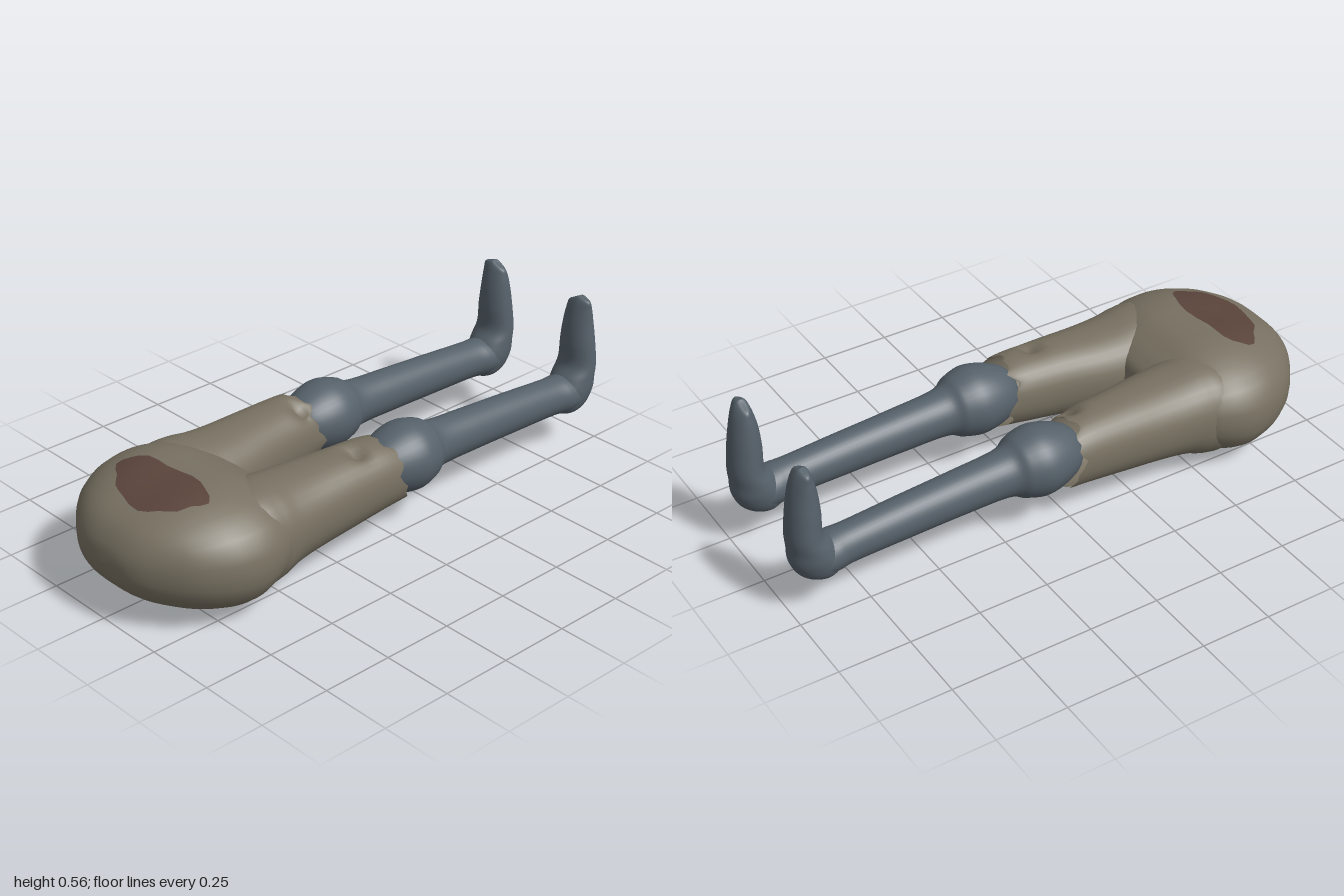
import * as THREE from 'three';

const SEGMENTS = 36;
const STEPS = 7;

const trouserMat = new THREE.MeshStandardMaterial({ color: 0x787162, side: THREE.DoubleSide });
const skinMat = new THREE.MeshStandardMaterial({ color: 0x56616a });
const stainMat = new THREE.MeshStandardMaterial({ color: 0x5a443b });

// Smooth value of one column of a section table at parameter t (in rows)
function sample(rows, t, k) {
  const n = rows.length - 1;
  const i = Math.min(Math.floor(t), n - 1), f = t - i;
  const at = (j) => rows[Math.max(0, Math.min(n, j))][k];
  const [a, b, c, d] = [at(i - 1), at(i), at(i + 1), at(i + 2)];
  return b + 0.5 * f * (c - a + f * (2 * a - 5 * b + 4 * c - d + f * (3 * (b - c) + d - a)));
}

// Point on a rounded section; rows are [position, centreX, centreV, halfX, halfV]
function sectionPoint(rows, t, angle, { power = 2, along = 'z' } = {}) {
  const [pos, cx, cv, hx, hv] = [0, 1, 2, 3, 4].map((k) => sample(rows, t, k));
  const bend = (s) => Math.sign(s) * Math.pow(Math.abs(s), 2 / power);
  const x = cx + Math.max(0, hx) * bend(Math.cos(angle));
  const v = cv + Math.max(0, hv) * bend(Math.sin(angle));
  return along === 'z' ? new THREE.Vector3(x, v, pos) : new THREE.Vector3(x, pos, v);
}

// Indexed grid, optionally joined around
function gridGeometry(nu, nv, wrap, pointAt) {
  const pos = [], index = [];
  const cols = wrap ? nv : nv + 1;
  for (let i = 0; i <= nu; i++)
    for (let j = 0; j < cols; j++) pos.push(...pointAt(i / nu, j / nv).toArray());
  for (let i = 0; i < nu; i++)
    for (let j = 0; j < nv; j++) {
      const k = (j + 1) % cols;
      const a = i * cols + j, b = a + cols, c = i * cols + k, d = c + cols;
      index.push(a, b, c, c, b, d);
    }
  const g = new THREE.BufferGeometry();
  g.setAttribute('position', new THREE.Float32BufferAttribute(pos, 3));
  g.setIndex(index);
  g.computeVertexNormals();
  return g;
}

function loft(name, rows, material, options = {}) {
  const { warp = (p) => p } = options;
  const n = rows.length - 1;
  const g = gridGeometry(n * STEPS, SEGMENTS, true, (u, v) =>
    warp(sectionPoint(rows, u * n, v * Math.PI * 2, options), u, v * Math.PI * 2));
  const mesh = new THREE.Mesh(g, material);
  mesh.name = name;
  return mesh;
}

// Pelvis sections, waist end to crotch
const PELVIS = [
  [1.0, 0, 0.215, 0, 0],
  [0.985, 0, 0.215, 0.115, 0.065],
  [0.94, 0, 0.218, 0.205, 0.125],
  [0.86, 0, 0.217, 0.3, 0.168],
  [0.76, 0, 0.213, 0.36, 0.2],
  [0.66, 0, 0.21, 0.38, 0.211],
  [0.57, 0, 0.217, 0.365, 0.192],
  [0.5, 0, 0.222, 0.325, 0.155],
  [0.45, 0, 0.225, 0.23, 0.12],
  [0.415, 0, 0.225, 0.12, 0.08],
  [0.4, 0, 0.225, 0, 0],
];
const PELVIS_SHAPE = { power: 2.3 };

// Shallow hollow along the middle of the pelvis
function hollow(p) {
  p.y -= (p.y - 0.215) * 0.06 * Math.exp(-Math.pow(p.x / 0.1, 2));
  return p;
}

// Stain lying just above the top of the pelvis
function makeStain() {
  const n = 28;
  const g = gridGeometry(6, n, true, (r, v) => {
    const a = v * Math.PI * 2;
    const edge = r * (1 + 0.1 * Math.sin(3 * a + 1) + 0.05 * Math.sin(7 * a));
    const t = 3.85 - edge * 1.0 * Math.cos(a);
    const angle = Math.PI / 2 - edge * 0.5 * Math.sin(a);
    const p = hollow(sectionPoint(PELVIS, t, angle, PELVIS_SHAPE));
    p.y += 0.002;
    return p;
  });
  const mesh = new THREE.Mesh(g, stainMat.clone());
  mesh.material.side = THREE.DoubleSide;
  mesh.name = 'stain';
  return mesh;
}

function makeLeg(side) {
  const leg = new THREE.Group();
  leg.name = side > 0 ? 'leftLeg' : 'rightLeg';
  const sided = (rows) => rows.map(([p, x, ...rest]) => [p, side * x, ...rest]);

  // Trouser leg with a torn cuff and a crumpled spot on top
  const dent = side > 0 ? [0.22, 0.14] : [-0.14, 0.06];
  const tear = (p, u, a) => {
    const d = Math.hypot(p.x - dent[0], p.z - dent[1]) / 0.03;
    if (p.y > 0.25) p.y -= 0.035 * Math.exp(-d * d);
    const fray = 0.012 * Math.sin(5 * a + side) + 0.01 * Math.sin(11 * a) + 0.022 * Math.sin(a);
    p.z += fray * Math.pow(u, 12);
    return p;
  };
  leg.add(loft('trouserLeg', sided([
    [0.7, 0.19, 0.21, 0.11, 0.11],
    [0.6, 0.187, 0.213, 0.158, 0.165],
    [0.52, 0.18, 0.217, 0.163, 0.168],
    [0.45, 0.176, 0.224, 0.157, 0.152],
    [0.35, 0.179, 0.229, 0.146, 0.142],
    [0.2, 0.19, 0.237, 0.129, 0.133],
    [0.07, 0.197, 0.243, 0.119, 0.124],
    [0.005, 0.202, 0.242, 0.111, 0.117],
  ]), trouserMat, { power: 2.2, warp: tear }));

  // Round knee running into the shin and heel
  leg.add(loft('kneeAndShin', sided([
    [0.07, 0.195, 0.25, 0, 0],
    [0.04, 0.195, 0.25, 0.07, 0.07],
    [-0.02, 0.196, 0.251, 0.106, 0.105],
    [-0.1, 0.198, 0.252, 0.122, 0.122],
    [-0.17, 0.197, 0.251, 0.106, 0.108],
    [-0.23, 0.196, 0.247, 0.079, 0.083],
    [-0.4, 0.196, 0.239, 0.071, 0.077],
    [-0.6, 0.197, 0.229, 0.067, 0.073],
    [-0.79, 0.198, 0.218, 0.065, 0.068],
    [-0.86, 0.198, 0.212, 0.073, 0.069],
    [-0.93, 0.198, 0.21, 0.066, 0.055],
    [-0.96, 0.198, 0.21, 0, 0],
  ]), skinMat));

  // Foot standing up from the heel, toes slanting to the outside
  const slant = (p, u) => {
    const out = side * p.x - 0.205;
    p.y -= Math.pow(u, 6) * (out < 0 ? -out * 0.8 : out * 0.4);
    return p;
  };
  leg.add(loft('foot', sided([
    [0.133, 0.198, -0.885, 0, 0],
    [0.142, 0.198, -0.887, 0.04, 0.042],
    [0.17, 0.198, -0.897, 0.064, 0.075],
    [0.22, 0.198, -0.91, 0.077, 0.086],
    [0.27, 0.198, -0.925, 0.077, 0.073],
    [0.32, 0.198, -0.942, 0.073, 0.058],
    [0.4, 0.198, -0.939, 0.066, 0.054],
    [0.47, 0.198, -0.937, 0.058, 0.046],
    [0.53, 0.2, -0.936, 0.051, 0.032],
    [0.565, 0.203, -0.934, 0.042, 0.016],
    [0.57, 0.205, -0.934, 0, 0],
  ]), skinMat, { along: 'y', warp: slant }));
  return leg;
}

export function createModel() {
  const model = new THREE.Group();
  model.name = 'lowerBody';
  model.add(loft('pelvis', PELVIS, trouserMat, { ...PELVIS_SHAPE, warp: hollow }));
  model.add(makeStain());
  for (const side of [1, -1]) model.add(makeLeg(side));
  return model;
}
